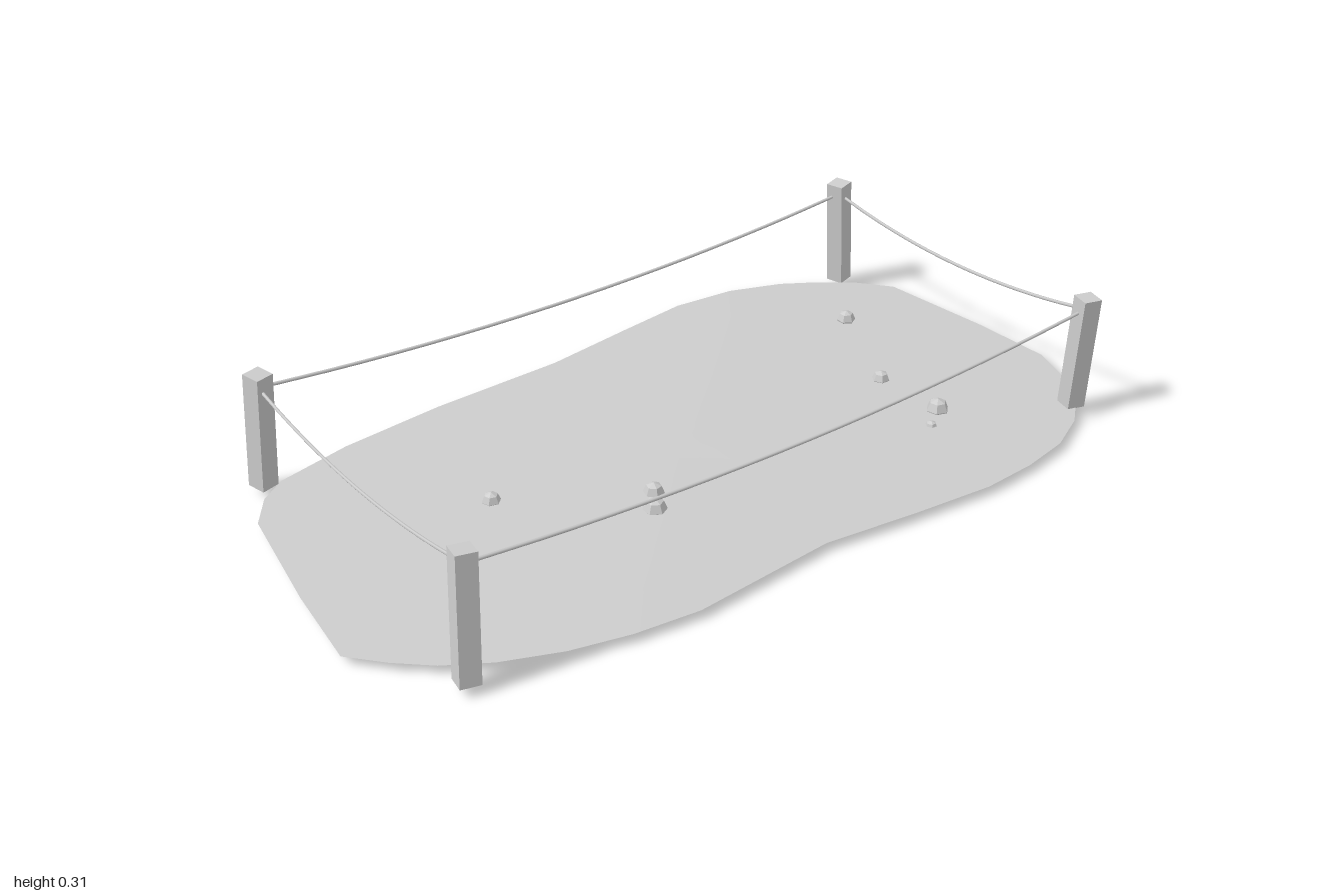
import * as THREE from 'three';

const stone = new THREE.MeshStandardMaterial({ color: 0xcccccc });
stone.name = 'pale grey';
const sheet = stone.clone();
sheet.name = 'pale grey ground';
sheet.side = THREE.DoubleSide;

// Rim of the ground patch, x and z, running from the back round the left side
const RIM = [
  [0.21, -1], [0, -0.995], [-0.3, -0.968], [-0.385, -0.9], [-0.447, -0.82], [-0.5, -0.735],
  [-0.55, -0.6], [-0.566, -0.435], [-0.54, -0.24], [-0.505, 0], [-0.495, 0.345], [-0.468, 0.61],
  [-0.425, 0.795], [-0.38, 0.86], [-0.3, 0.915], [0, 0.968], [0.22, 0.995], [0.295, 0.93],
  [0.36, 0.86], [0.42, 0.765], [0.475, 0.635], [0.51, 0.5], [0.53, 0.345], [0.505, -0.015],
  [0.537, -0.24], [0.56, -0.45], [0.553, -0.59], [0.53, -0.715], [0.48, -0.82], [0.405, -0.91],
  [0.31, -0.963],
];

// Shallow mound made of shrinking copies of the rim
function groundGeometry() {
  const rings = 5, n = RIM.length;
  const pos = [0, 0.037, 0], index = [];
  for (let r = 1; r <= rings; r++) {
    const t = r / rings;
    for (const [x, z] of RIM) pos.push(x * t, 0.037 - 0.008 * t * t, z * t);
  }
  for (let i = 0; i < n; i++) {
    const j = (i + 1) % n;
    index.push(0, 1 + i, 1 + j);
    for (let r = 0; r < rings - 1; r++) {
      const a = 1 + r * n + i, b = 1 + r * n + j;
      index.push(a, a + n, b + n, a, b + n, b);
    }
  }
  const geo = new THREE.BufferGeometry();
  geo.setAttribute('position', new THREE.Float32BufferAttribute(pos, 3));
  geo.setIndex(index);
  geo.computeVertexNormals();
  return geo;
}

function add(group, name, geo, mat) {
  const mesh = new THREE.Mesh(geo, mat);
  mesh.name = name;
  group.add(mesh);
  return mesh;
}

// Leaning square post from its foot to its head
function addPost(group, name, foot, head, yaw) {
  const a = new THREE.Vector3(foot[0], 0.028, foot[1]);
  const b = new THREE.Vector3(head[0], 0.316, head[1]);
  const d = b.clone().sub(a);
  const geo = new THREE.BoxGeometry(0.046, d.length(), 0.046).rotateY(yaw);
  const post = add(group, name, geo, stone);
  post.position.copy(a).add(b).multiplyScalar(0.5);
  post.quaternion.setFromUnitVectors(new THREE.Vector3(0, 1, 0), d.normalize());
}

// Sagging rope between two points
function addRope(group, name, [x0, z0], [x1, z1]) {
  const pts = [];
  for (let i = 0; i <= 8; i++) {
    const t = i / 8, s = 2 * t - 1;
    pts.push(new THREE.Vector3(x0 + (x1 - x0) * t, 0.239 + 0.043 * s * s, z0 + (z1 - z0) * t));
  }
  add(group, name, new THREE.TubeGeometry(new THREE.CatmullRomCurve3(pts), 20, 0.004, 6), stone);
}

export function createModel() {
  const group = new THREE.Group();
  group.name = 'ropedGround';

  add(group, 'ground', groundGeometry(), sheet);

  addPost(group, 'backRightPost', [-0.434, -0.89], [-0.427, -0.868], 0.25);
  addPost(group, 'backLeftPost', [0.418, -0.875], [0.427, -0.88], -0.25);
  addPost(group, 'frontRightPost', [-0.437, 0.833], [-0.418, 0.822], 0.3);
  addPost(group, 'frontLeftPost', [0.435, 0.84], [0.414, 0.818], -0.2);

  addRope(group, 'backRope', [-0.427, -0.872], [0.425, -0.886]);
  addRope(group, 'frontRope', [-0.42, 0.824], [0.414, 0.816]);
  addRope(group, 'rightRope', [-0.43, -0.868], [-0.42, 0.822]);
  addRope(group, 'leftRope', [0.422, -0.88], [0.413, 0.818]);

  // Faceted pebbles: x, z, radius
  const pebbles = [
    [-0.228, -0.73, 0.024], [-0.06, 0.47, 0.022], [0.06, -0.585, 0.022], [0.13, 0.165, 0.025],
    [0.185, 0.203, 0.028], [0.25, -0.592, 0.028], [0.293, -0.53, 0.016],
  ];
  const faceted = new THREE.SphereGeometry(1, 6, 4).toNonIndexed();
  faceted.computeVertexNormals();
  pebbles.forEach(([x, z, r], i) => {
    const p = add(group, 'pebble', faceted, stone);
    p.position.set(x, r < 0.02 ? 0.029 : 0.036, z);
    p.scale.setScalar(r);
    p.rotation.y = i * 1.3;
  });
  return group;
}
